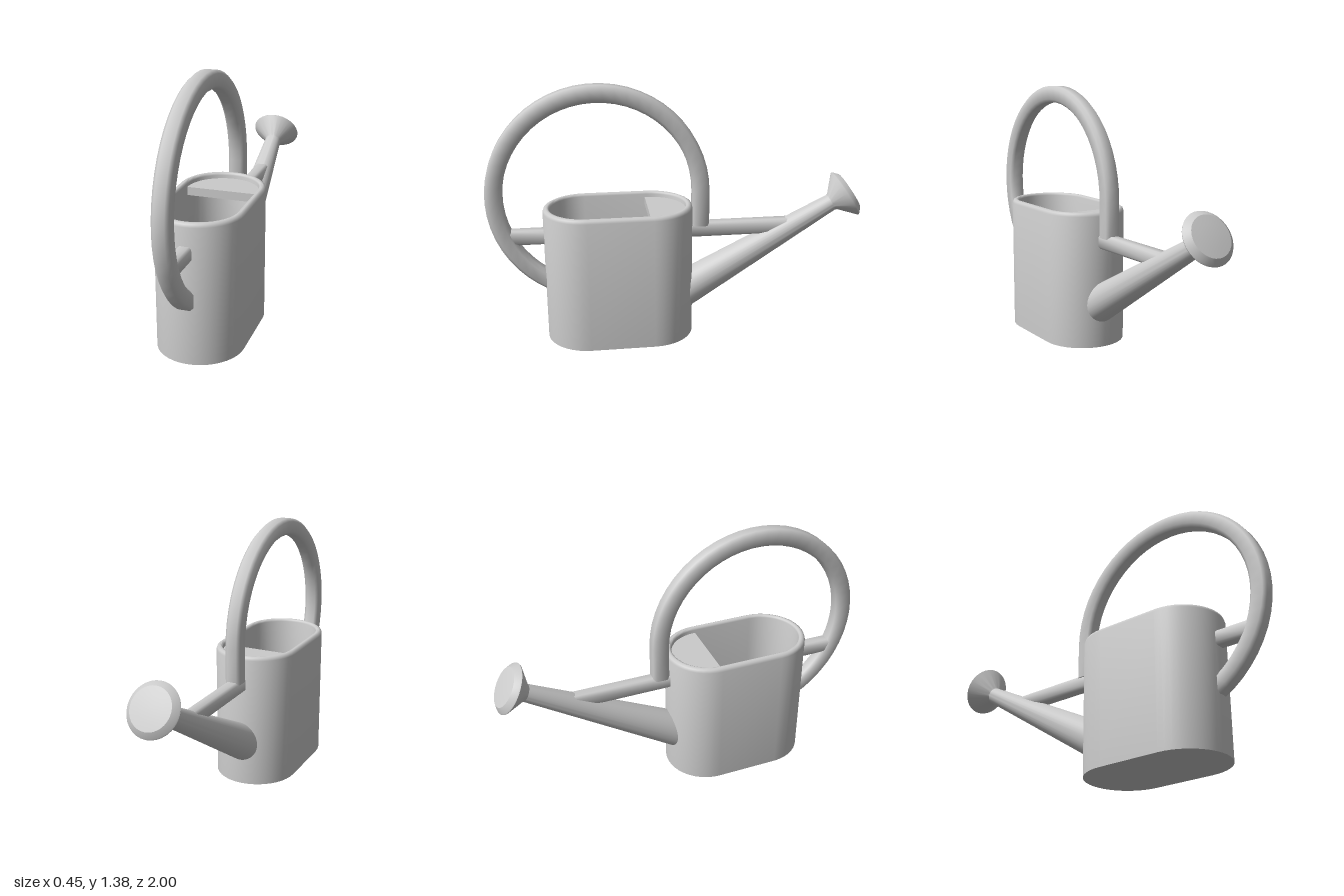
import * as THREE from 'three';
import { toCreasedNormals } from 'three/addons/utils/BufferGeometryUtils.js';

const V = (x, y, z) => new THREE.Vector3(x, y, z);

// Skin a list of equal-length rings (counter-clockwise about the travel direction).
function loft(rings, capStart, capEnd, crease = 0.9) {
  const n = rings[0].length, pos = [], idx = [];
  const add = (p) => pos.push(p.x, p.y, p.z) / 3 - 1;
  rings.forEach((r) => r.forEach(add));
  for (let i = 0; i < rings.length - 1; i++) {
    for (let j = 0; j < n; j++) {
      const a = i * n + j, b = i * n + (j + 1) % n;
      idx.push(a, b, b + n, a, b + n, a + n);
    }
  }
  const cap = (i, flip) => {
    const c = add(rings[i].reduce((s, p) => s.add(p), V(0, 0, 0)).divideScalar(n));
    for (let j = 0; j < n; j++) {
      const a = i * n + j, b = i * n + (j + 1) % n;
      idx.push(c, flip ? b : a, flip ? a : b);
    }
  };
  if (capStart) cap(0, true);
  if (capEnd) cap(rings.length - 1, false);
  const g = new THREE.BufferGeometry();
  g.setAttribute('position', new THREE.Float32BufferAttribute(pos, 3));
  g.setIndex(idx);
  return toCreasedNormals(g, crease);
}

// Square section with bevelled corners, as [u, v] pairs.
function bevelledSquare(hu, hv, b) {
  return [[hu, b - hv], [hu, hv - b], [hu - b, hv], [b - hu, hv],
    [-hu, hv - b], [-hu, b - hv], [b - hu, -hv], [hu - b, -hv]];
}

export function createModel() {
  const group = new THREE.Group();
  const material = new THREE.MeshStandardMaterial({ color: 0xcccccc });
  const part = (name, geometry) => {
    const mesh = new THREE.Mesh(geometry, material);
    mesh.name = name;
    group.add(mesh);
    return mesh;
  };

  // Oval tank: outer wall, rounded rim, inner wall and floor
  const zBack = 0.145, zFront = 0.485;
  const oval = (r, y) => {
    const pts = [], n = 20;
    for (let end = 0; end < 2; end++) {
      for (let i = 0; i <= n; i++) {
        const t = -Math.PI / 2 + Math.PI * (i / n + end);
        pts.push(V(r * Math.sin(t), y, (end ? zBack : zFront) + r * Math.cos(t)));
      }
    }
    return pts;
  };
  const wall = [[0.225, 0], [0.225, 0.715], [0.22, 0.729], [0.209, 0.735],
    [0.2, 0.735], [0.193, 0.731], [0.19, 0.722], [0.19, 0.03]];
  part('tank', loft(wall.map(([r, y]) => oval(r, y)), true, true));

  // Half cover inside the rim, on the spout side
  const coverShape = new THREE.Shape();
  coverShape.moveTo(0.195, 0.01);
  coverShape.absarc(0, 0, 0.195, 0, Math.PI, false);
  coverShape.lineTo(-0.195, 0.01);
  coverShape.lineTo(-0.195, -0.01);
  coverShape.lineTo(0.195, -0.01);
  const cover = new THREE.ExtrudeGeometry(coverShape, { depth: 0.045, bevelEnabled: false, curveSegments: 24 });
  cover.rotateX(-Math.PI / 2).translate(0, 0.66, zBack);
  part('halfCover', cover);

  // Hoop handle: arc from the front wall over the top, then straight down
  const cz = 0.415, cy = 0.795, radius = 0.54;
  const section = bevelledSquare(0.045, 0.042, 0.016);
  const hoop = [];
  for (let i = 0; i <= 36; i++) {
    hoop.push(section.map(([u, v]) => {
      const r = radius + u;
      const a = THREE.MathUtils.lerp(-Math.acos(0.275 / r), Math.PI, i / 36);
      return V(v, cy + r * Math.sin(a), cz + r * Math.cos(a));
    }));
  }
  hoop.push(section.map(([u, v]) => V(v, 0.605, cz - radius - u)));
  part('handle', loft(hoop, true, true));

  // Bars tying the handle and the spout to the tank
  const barSection = bevelledSquare(0.036, 0.039, 0.013);
  const bar = (name, z0, z1) => part(name, loft(
    [z0, z1].map((z) => barSection.map(([u, v]) => V(u, 0.58 + v, z))), true, true));
  bar('handleBar', 0.69, 0.9);
  bar('spoutBar', -0.615, -0.06);

  // Tapered spout, its base fitted to the curved tank wall
  const start = V(0, 0.25, -0.08), end = V(0, 0.7, -0.855);
  const dir = end.clone().sub(start).normalize();
  const side = V(1, 0, 0), across = V(0, dir.z, -dir.y);
  const circle = (c, r) => Array.from({ length: 32 }, (_, i) => {
    const t = i / 32 * Math.PI * 2;
    return c.clone().addScaledVector(side, r * Math.cos(t)).addScaledVector(across, r * Math.sin(t));
  });
  const base = circle(start, 0.097).map((p) => {
    const zWall = zBack - Math.sqrt(0.207 ** 2 - p.x ** 2);
    return p.addScaledVector(dir, (zWall - p.z) / dir.z);
  });
  part('spout', loft([base, circle(end, 0.046)], false, true));

  // Sprinkler rose: flared cone with a bevelled, slightly domed face
  const profile = [[0.044, -0.01], [0.05, 0.004], [0.134, 0.081], [0.136, 0.086],
    [0.132, 0.092], [0.106, 0.114], [0.06, 0.118], [0, 0.119]];
  const rose = part('rose', toCreasedNormals(
    new THREE.LatheGeometry(profile.map(([r, y]) => new THREE.Vector2(r, y)), 32), 0.5));
  rose.position.set(0, 0.696, -0.85);
  rose.quaternion.setFromUnitVectors(V(0, 1, 0), V(0, 0.533, -0.846).normalize());

  return group;
}
